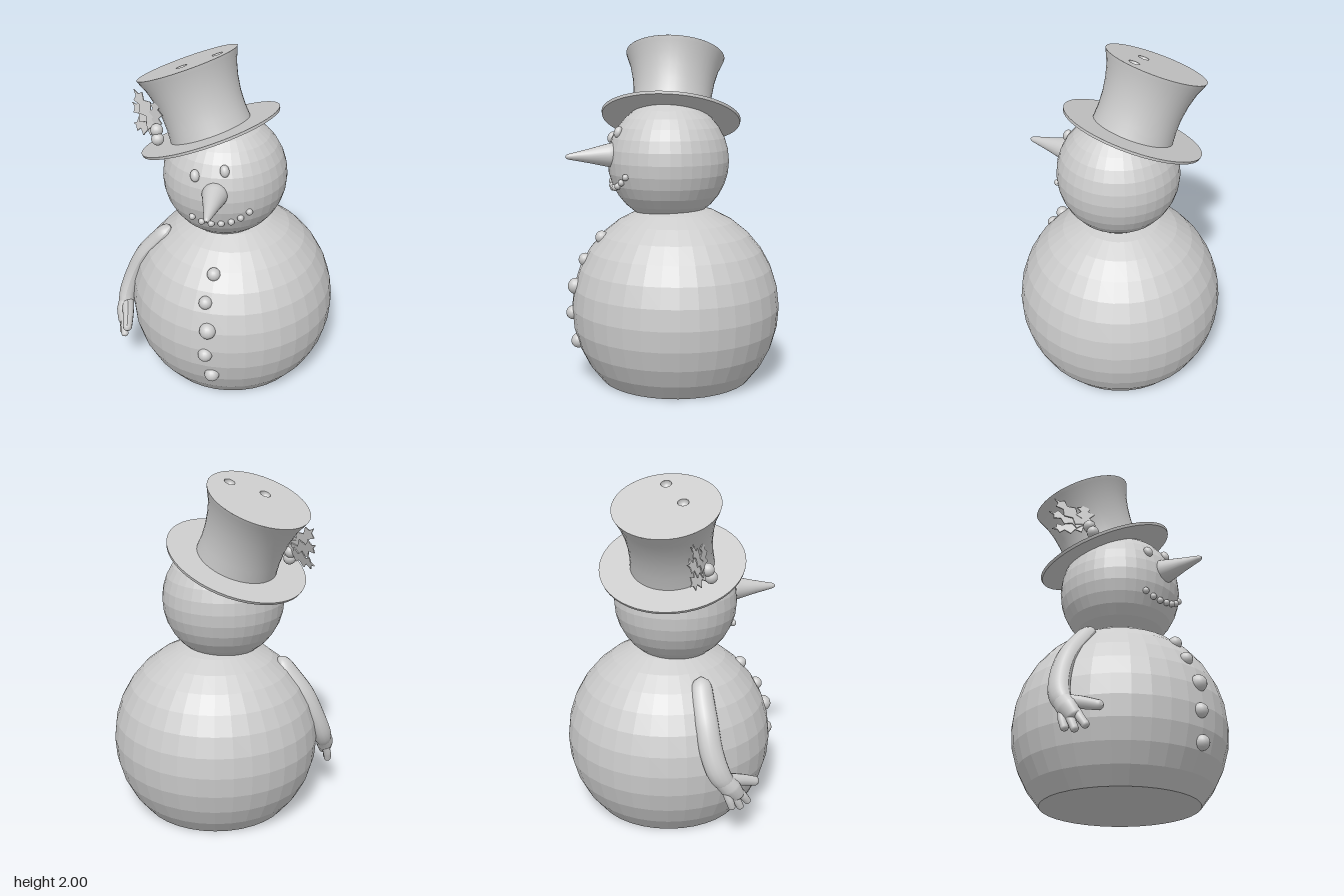
import * as THREE from 'three';

const V = (x, y, z) => new THREE.Vector3(x, y, z);
const smooth = new THREE.MeshStandardMaterial({ color: 0xcccccc });
const faceted = new THREE.MeshStandardMaterial({ color: 0xcccccc, flatShading: true });
const open = new THREE.MeshStandardMaterial({ color: 0xcccccc, side: THREE.DoubleSide });

const BODY = { c: V(0.033, 0.42, -0.015), r: 0.612 };
const HEAD = { c: V(-0.003, 1.28, 0.02), r: 0.355 };

function add(parent, name, geometry, material = smooth, pos) {
  const mesh = new THREE.Mesh(geometry, material);
  mesh.name = name;
  if (pos) mesh.position.copy(pos);
  parent.add(mesh);
  return mesh;
}

// Point on the front of a ball at a given x and y
function onBall(ball, x, y, lift = 0) {
  const dx = x - ball.c.x, dy = y - ball.c.y;
  return V(x, y, ball.c.z + Math.sqrt(ball.r ** 2 - dx * dx - dy * dy) + lift);
}

function ball(parent, name, r, pos) {
  return add(parent, name, new THREE.SphereGeometry(r, 16, 12), smooth, pos);
}

// Rounded tube whose radius changes along its path; depth widens it along z
function limb(points, radii, depth = 1, sides = 14) {
  const curve = new THREE.CatmullRomCurve3(points);
  const n = 28;
  const geo = new THREE.TubeGeometry(curve, n, 1, sides, false);
  const p = geo.attributes.position;
  for (let i = 0; i <= n; i++) {
    const t = i / n, c = curve.getPointAt(t);
    const f = t * (radii.length - 1), k = Math.min(Math.floor(f), radii.length - 2);
    let r = THREE.MathUtils.lerp(radii[k], radii[k + 1], f - k);
    const end = Math.min(t, 1 - t) / 0.12; // round off both ends
    if (end < 1) r *= Math.sqrt(1 - (1 - end) ** 2);
    for (let j = 0; j <= sides; j++) {
      const q = i * (sides + 1) + j;
      const v = V().fromBufferAttribute(p, q).sub(c).multiplyScalar(r);
      p.setXYZ(q, c.x + v.x, c.y + v.y, c.z + v.z * depth);
    }
  }
  geo.computeVertexNormals();
  return geo;
}

// Spiky leaf lying along +y with its base at the origin
function leafGeometry(length) {
  const s = new THREE.Shape();
  const half = [[0.012, 0.12], [0.05, 0.2], [0.022, 0.36], [0.056, 0.52], [0.02, 0.66], [0.04, 0.82], [0.01, 0.86]];
  s.moveTo(0, 0);
  half.forEach(([x, t]) => s.lineTo(x, t * length));
  s.lineTo(0, length);
  [...half].reverse().forEach(([x, t]) => s.lineTo(-x, t * length));
  return new THREE.ExtrudeGeometry(s, { depth: 0.006, bevelEnabled: false });
}

function makeHat() {
  const hat = new THREE.Group();
  hat.name = 'hat';
  hat.position.set(-0.095, 1.52, -0.015);
  hat.quaternion.setFromUnitVectors(V(0, 1, 0), V(-0.37, 0.92, -0.145).normalize());
  add(hat, 'hatBrim', new THREE.CylinderGeometry(0.412, 0.408, 0.016, 48));

  // Flared crown
  const profile = [[0.238, 0], [0.232, 0.08], [0.234, 0.16], [0.245, 0.24], [0.265, 0.32], [0.288, 0.375], [0.296, 0.397]];
  add(hat, 'hatCrown', new THREE.LatheGeometry(profile.map(([x, y]) => new THREE.Vector2(x, y)), 40), open);

  // Crown top with two small round pits
  const top = new THREE.Shape().absarc(0, 0, 0.296, 0, Math.PI * 2);
  [[-0.003, 0.091], [0.195, 0.035]].forEach(([x, z]) => {
    top.holes.push(new THREE.Path().absarc(x, -z, 0.031, 0, Math.PI * 2, true));
    add(hat, 'hatPit', new THREE.SphereGeometry(0.031, 20, 8, 0, Math.PI * 2, Math.PI / 2, Math.PI / 2), open, V(x, 0.397, z));
  });
  const lid = add(hat, 'hatTop', new THREE.ShapeGeometry(top, 24), open, V(0, 0.397, 0));
  lid.rotation.x = -Math.PI / 2;
  return hat;
}

function makeSprig() {
  const sprig = new THREE.Group();
  sprig.name = 'hollySprig';
  const base = V(-0.37, 1.56, 0.11);
  [[-0.53, 1.73, 0], [-0.55, 1.64, -0.02], [-0.54, 1.52, 0], [-0.38, 1.72, 0.09]].forEach(([x, y, z]) => {
    const along = V(x, y, z).sub(base);
    const length = along.length();
    along.normalize();
    const side = along.clone().cross(V(-0.5, 0.35, 0.75)).normalize();
    const leaf = add(sprig, 'hollyLeaf', leafGeometry(length), smooth, base);
    leaf.quaternion.setFromRotationMatrix(
      new THREE.Matrix4().makeBasis(side, along, side.clone().cross(along)));
  });
  ball(sprig, 'hollyBerry', 0.036, V(-0.367, 1.557, 0.13));
  ball(sprig, 'hollyBerry', 0.036, V(-0.357, 1.512, 0.15));
  return sprig;
}

function makeArm() {
  const arm = new THREE.Group();
  arm.name = 'rightArm';
  add(arm, 'armSleeve', limb(
    [V(-0.315, 0.92, 0.11), V(-0.39, 0.83, 0.105), V(-0.485, 0.71, 0.11), V(-0.55, 0.57, 0.125), V(-0.588, 0.44, 0.165), V(-0.588, 0.34, 0.23)],
    [0.045, 0.05, 0.052, 0.052, 0.052, 0.045], 1.3));
  add(arm, 'palm', limb([V(-0.59, 0.42, 0.17), V(-0.59, 0.35, 0.23), V(-0.58, 0.28, 0.28)], [0.045, 0.05, 0.035], 1.3));
  [[-0.61, 0.225, 0.24], [-0.59, 0.212, 0.295], [-0.56, 0.23, 0.345]].forEach(([x, y, z], i) => {
    const root = V(-0.6 + i * 0.012, 0.34, 0.2 + i * 0.035);
    add(arm, 'finger', limb([root, root.clone().lerp(V(x, y, z), 0.5).add(V(-0.006, 0, 0)), V(x, y, z)], [0.024, 0.024, 0.021], 1, 10));
  });
  add(arm, 'thumb', limb([V(-0.585, 0.4, 0.19), V(-0.55, 0.375, 0.29), V(-0.518, 0.335, 0.41)], [0.04, 0.034, 0.026], 1, 10));
  return arm;
}

export function createModel() {
  const model = new THREE.Group();
  model.name = 'snowman';

  // Body ball cut flat where it stands
  const cut = Math.acos(-BODY.c.y / BODY.r);
  add(model, 'body', new THREE.SphereGeometry(BODY.r, 36, 12, 0, Math.PI * 2, 0, cut), faceted, BODY.c);
  const base = add(model, 'bodyBase', new THREE.CircleGeometry(BODY.r * Math.sin(cut), 36), faceted, V(BODY.c.x, 0, BODY.c.z));
  base.rotation.x = Math.PI / 2;
  add(model, 'head', new THREE.SphereGeometry(HEAD.r, 36, 16), faceted, HEAD.c);

  // Eyes
  [[-0.095, 1.415], [0.066, 1.455]].forEach(([x, y]) => {
    const eye = ball(model, 'eye', 0.034, onBall(HEAD, x, y, 0.004));
    eye.scale.set(0.75, 1, 0.7);
    eye.rotation.set(-0.4, x * 2, 0.2);
  });

  // Carrot nose with a rounded tip, pointing forward
  const carrot = [[0, -0.04], [0.06, -0.03], [0.072, 0], [0.066, 0.03], [0.04, 0.14], [0.016, 0.255], [0.009, 0.268], [0, 0.272]];
  const nose = add(model, 'nose', new THREE.LatheGeometry(carrot.map(([x, y]) => new THREE.Vector2(x, y)), 24), open, V(0.018, 1.32, 0.353));
  nose.quaternion.setFromUnitVectors(V(0, 1, 0), V(0.08, -0.01, 1).normalize());

  // Pebble mouth
  [[-0.115, 1.155], [-0.06, 1.136], [-0.006, 1.13], [0.05, 1.136], [0.105, 1.15], [0.155, 1.175], [0.2, 1.21]]
    .forEach(([x, y]) => ball(model, 'mouthPebble', 0.019, onBall(HEAD, x, y, 0.004)));

  // Buttons
  [[0.025, 0.845, 0.038], [0, 0.713, 0.038], [0.025, 0.563, 0.047], [0.013, 0.403, 0.041], [0.045, 0.242, 0.043]]
    .forEach(([x, y, r]) => ball(model, 'button', r, onBall(BODY, x, y, -0.005)));

  model.add(makeHat(), makeSprig(), makeArm());
  return model;
}
